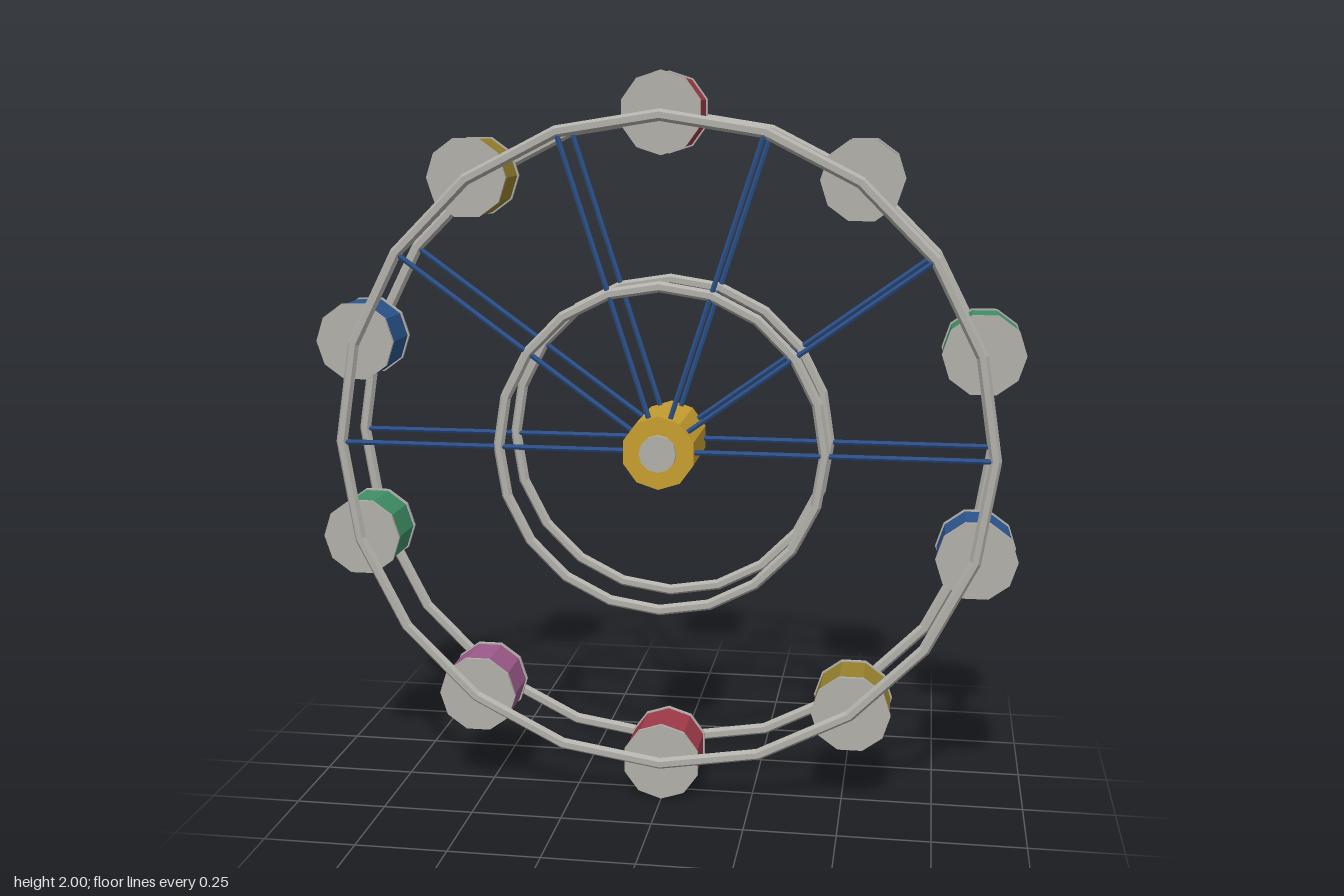
import * as THREE from 'three';

const mat = (name, color, flatShading = true) => {
  const m = new THREE.MeshStandardMaterial({ color, flatShading });
  m.name = name;
  return m;
};

export function createModel() {
  const group = new THREE.Group();
  const grey = mat('lightGrey', 0xb2b0aa);
  const gold = mat('gold', 0xc79f30);
  const navy = mat('spokeBlue', 0x2b4f88);
  const dark = mat('darkSteel', 0x3a3a3c);
  const cabinColours = [
    mat('red', 0xa23a4a), mat('pink', 0x9c5a8a), mat('green', 0x3f9068),
    mat('blue', 0x2c568f), mat('yellow', 0x98822e),
  ];

  const add = (parent, name, geometry, material, x = 0, y = 0, z = 0) => {
    const mesh = new THREE.Mesh(geometry, material);
    mesh.name = name;
    mesh.position.set(x, y, z);
    parent.add(mesh);
    return mesh;
  };
  // Cylinder lying along z, with a corner at the top
  const drum = (radius, length, sides) =>
    new THREE.CylinderGeometry(radius, radius, length, sides).rotateX(Math.PI / 2);

  const wheel = new THREE.Group();
  wheel.name = 'wheel';
  wheel.position.y = 1;
  group.add(wheel);

  // Hub and its axle
  add(wheel, 'hub', drum(0.1, 0.25, 10), gold);
  add(wheel, 'axle', drum(0.05, 0.28, 12), grey);

  // Two matching sides: outer rim, inner ring and spokes on the upper half
  const outerRim = new THREE.TorusGeometry(0.886, 0.016, 6, 20).scale(1, 1, 0.85);
  const innerRing = new THREE.TorusGeometry(0.442, 0.015, 6, 20).scale(1, 1, 0.85);
  const spoke = new THREE.CylinderGeometry(0.0075, 0.0075, 0.88, 6).translate(0, 0.44, 0);
  for (const z of [-0.1, 0.1]) {
    add(wheel, 'outerRim', outerRim, grey, 0, 0, z);
    add(wheel, 'innerRing', innerRing, grey, 0, 0, z);
    for (let i = 0; i < 6; i++) {
      add(wheel, 'spoke', spoke, navy, 0, 0, z).rotation.z = (i * Math.PI) / 5 - Math.PI / 2;
    }
  }

  // Ten cabins, clockwise from the top
  const body = drum(0.105, 0.136, 10);
  const endPlate = drum(0.109, 0.01, 10);
  const pin = drum(0.008, 0.2, 6);
  for (let i = 0; i < 10; i++) {
    const a = (i * Math.PI) / 5;
    const cabin = new THREE.Group();
    cabin.name = 'cabin';
    cabin.position.set(0.891 * Math.sin(a), 0.891 * Math.cos(a), 0);
    if (i % 5) cabin.rotation.z = Math.PI / 10;
    add(cabin, 'cabinBody', body, cabinColours[i % 5]);
    for (const z of [-0.073, 0.073]) add(cabin, 'cabinEndPlate', endPlate, grey, 0, 0, z);
    add(cabin, 'cabinPin', pin, dark);
    wheel.add(cabin);
  }
  return group;
}
